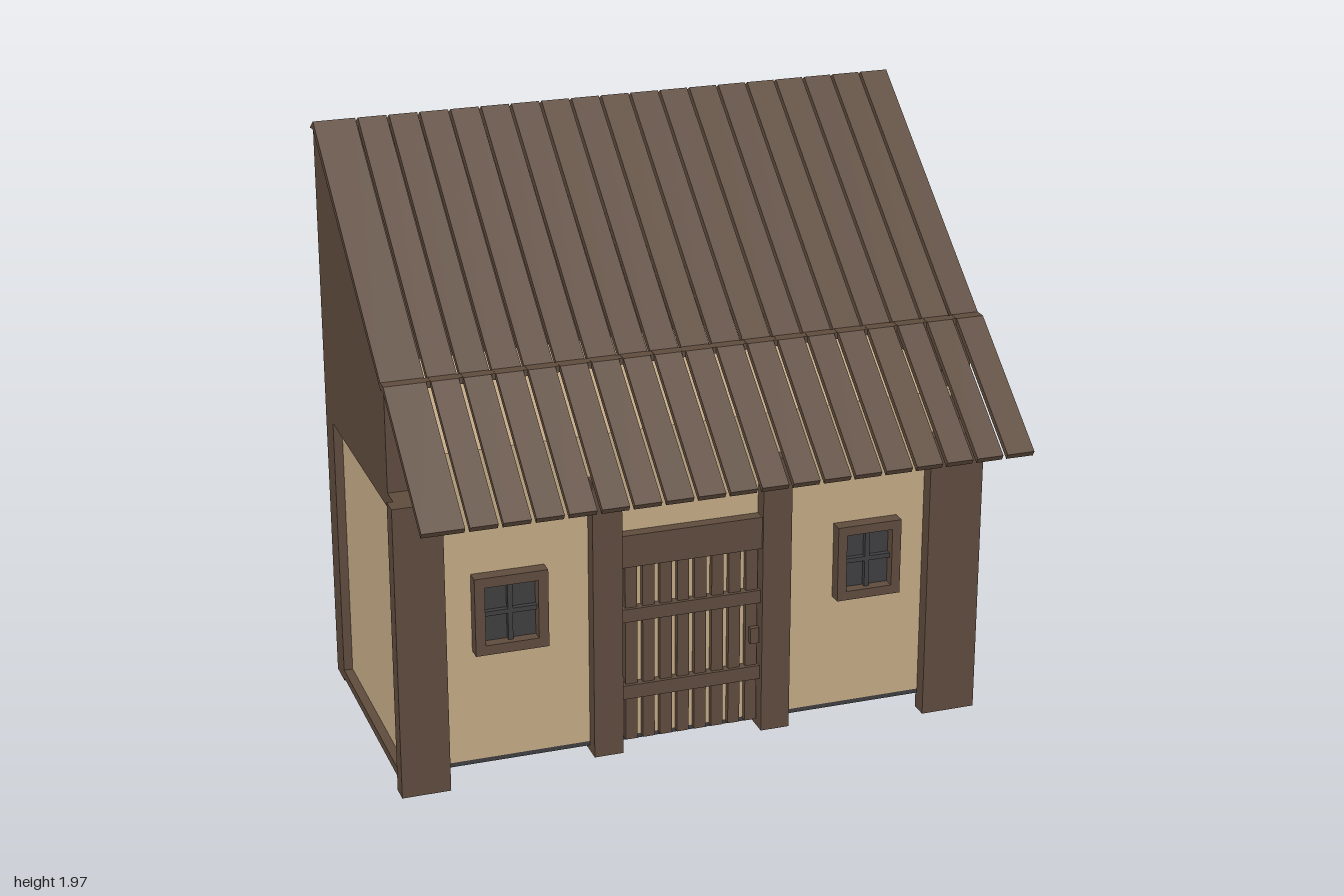
import * as THREE from 'three';

const mat = (color) => new THREE.MeshStandardMaterial({ color });

export function createModel() {
  const house = new THREE.Group();
  house.name = 'house';
  const wood = mat(0x5e4b3d), plaster = mat(0xc4aa86), dark = mat(0x3f3e40);

  const add = (name, geometry, material, parent = house) => {
    const mesh = new THREE.Mesh(geometry, material);
    mesh.name = name;
    parent.add(mesh);
    return mesh;
  };
  // Box given by its lower and upper limits
  const box = (name, material, [x0, x1], [y0, y1], [z0, z1], parent) => {
    const g = new THREE.BoxGeometry(x1 - x0, y1 - y0, z1 - z0);
    g.translate((x0 + x1) / 2, (y0 + y1) / 2, (z0 + z1) / 2);
    return add(name, g, material, parent);
  };
  // Side profile of [z, y] points, extruded from x0 to x1
  const profile = (name, material, points, x0, x1, parent) => {
    const shape = new THREE.Shape(points.map(([z, y]) => new THREE.Vector2(z, y)));
    const g = new THREE.ExtrudeGeometry(shape, { depth: x1 - x0, bevelEnabled: false });
    g.rotateY(-Math.PI / 2).translate(x1, 0, 0);
    return add(name, g, material, parent);
  };

  // Plastered room and dark floor
  box('plasterRoom', plaster, [-0.9, 0.875], [0.075, 1.14], [-0.56, 0.28]);
  box('floor', dark, [-0.9, 0.875], [0.06, 0.075], [-0.56, 0.28]);

  // Tall back wall
  profile('backWall', wood,
    [[-0.55, 0], [-0.55, 1.89], [-0.6, 1.93], [-0.65, 1.93], [-0.65, 0]], -0.98, 0.975);

  // Side walls: gable, top beam, sill and inset plaster
  const sides = [
    { name: 'right', outer: [-0.98, -0.9], panel: [-0.95, -0.89] },
    { name: 'left', outer: [0.875, 0.975], panel: [0.86, 0.945] },
  ];
  for (const { name, outer, panel } of sides) {
    profile(name + 'Gable', wood,
      [[0.2, 0.95], [0.2, 1.345], [-0.56, 1.905], [-0.56, 0.95]], ...outer);
    box(name + 'TopBeam', wood, outer, [0.95, 1.0], [-0.56, 0.285]);
    box(name + 'Sill', wood, outer, [0.01, 0.04], [-0.56, 0.285]);
    box(name + 'PlasterPanel', plaster, panel, [0.04, 0.95], [-0.56, 0.28]);
  }

  // Front posts
  box('cornerPostRight', wood, [-1, -0.84], [0.005, 1], [0.27, 0.33]);
  box('cornerPostLeft', wood, [0.79, 0.975], [0.005, 1], [0.27, 0.33]);
  const doorPosts = [[-0.36, -0.262], [0.212, 0.31]];
  for (const x of doorPosts) {
    box('doorPost', wood, x, [0.04, 1], [0.27, 0.33]);
    box('floorJoist', wood, x, [0.04, 0.07], [-0.56, 0.28]);
  }

  // Slatted door
  const door = new THREE.Group();
  door.name = 'door';
  house.add(door);
  const doorX = [-0.262, 0.212];
  box('lintel', wood, doorX, [0.69, 0.8], [0.27, 0.32], door);
  for (const y of [[0.495, 0.54], [0.222, 0.27]]) box('doorRail', wood, doorX, y, [0.275, 0.312], door);
  for (let i = 0; i < 8; i++) {
    const x = -0.244 + i * 0.0585;
    box('doorSlat', wood, [x, x + 0.04], [0.07, 0.7], [0.275, 0.3], door);
  }
  box('doorHandle', wood, [0.177, 0.206], [0.355, 0.41], [0.295, 0.318], door);

  // Windows: hollow frame, pane and crossbars
  const addWindow = (x0, x1, y0, y1, rim) => {
    const w = new THREE.Group();
    w.name = 'window';
    house.add(w);
    const rect = (P, a, b, c, d) => {
      const p = new P();
      p.moveTo(a, c).lineTo(b, c).lineTo(b, d).lineTo(a, d).closePath();
      return p;
    };
    const outline = rect(THREE.Shape, x0, x1, y0, y1);
    outline.holes.push(rect(THREE.Path, x0 + rim, x1 - rim, y0 + rim, y1 - rim));
    const g = new THREE.ExtrudeGeometry(outline, { depth: 0.05, bevelEnabled: false });
    add('windowFrame', g.translate(0, 0, 0.275), wood, w);
    const cx = (x0 + x1) / 2, cy = (y0 + y1) / 2;
    const px = [x0 + rim, x1 - rim], py = [y0 + rim, y1 - rim];
    box('windowPane', dark, px, py, [0.275, 0.288], w);
    box('crossbarUpright', dark, [cx - 0.008, cx + 0.008], py, [0.28, 0.305], w);
    box('crossbarLevel', dark, px, [cy - 0.008, cy + 0.008], [0.28, 0.305], w);
  };
  addWindow(-0.745, -0.505, 0.46, 0.725, 0.033);
  addWindow(0.475, 0.695, 0.465, 0.725, 0.031);

  // Roof: rows of planks over the loft and over the front eave
  const roof = new THREE.Group();
  roof.name = 'roof';
  house.add(roof);
  const upper = [[0.2, 1.34], [0.2, 1.365], [-0.6, 1.97], [-0.655, 1.935], [-0.61, 1.943]];
  const eave = [[0.645, 1.035], [0.655, 1.052], [0.24, 1.365], [0.2, 1.365], [0.2, 1.345], [0.232, 1.345]];
  const pitch = 0.1026, count = 18;
  for (let i = 0; i < count; i++) {
    const right = -0.852 + i * pitch;
    const left = i === 0 ? -0.99 : right - pitch;
    profile('roofPlank', wood, upper, left + (i ? 0.009 : 0), right, roof);
    profile('eavePlank', wood, eave, left + (i ? 0.011 : 0), right - 0.004, roof);
  }
  const last = -0.852 + (count - 1) * pitch;
  profile('roofPlank', wood, upper, last + 0.009, 0.995, roof);
  profile('eavePlank', wood, eave, last + 0.011, 0.995, roof);
  box('roofBatten', wood, [-0.988, 0.993], [1.343, 1.364], [0.2, 0.234], roof);

  return house;
}
